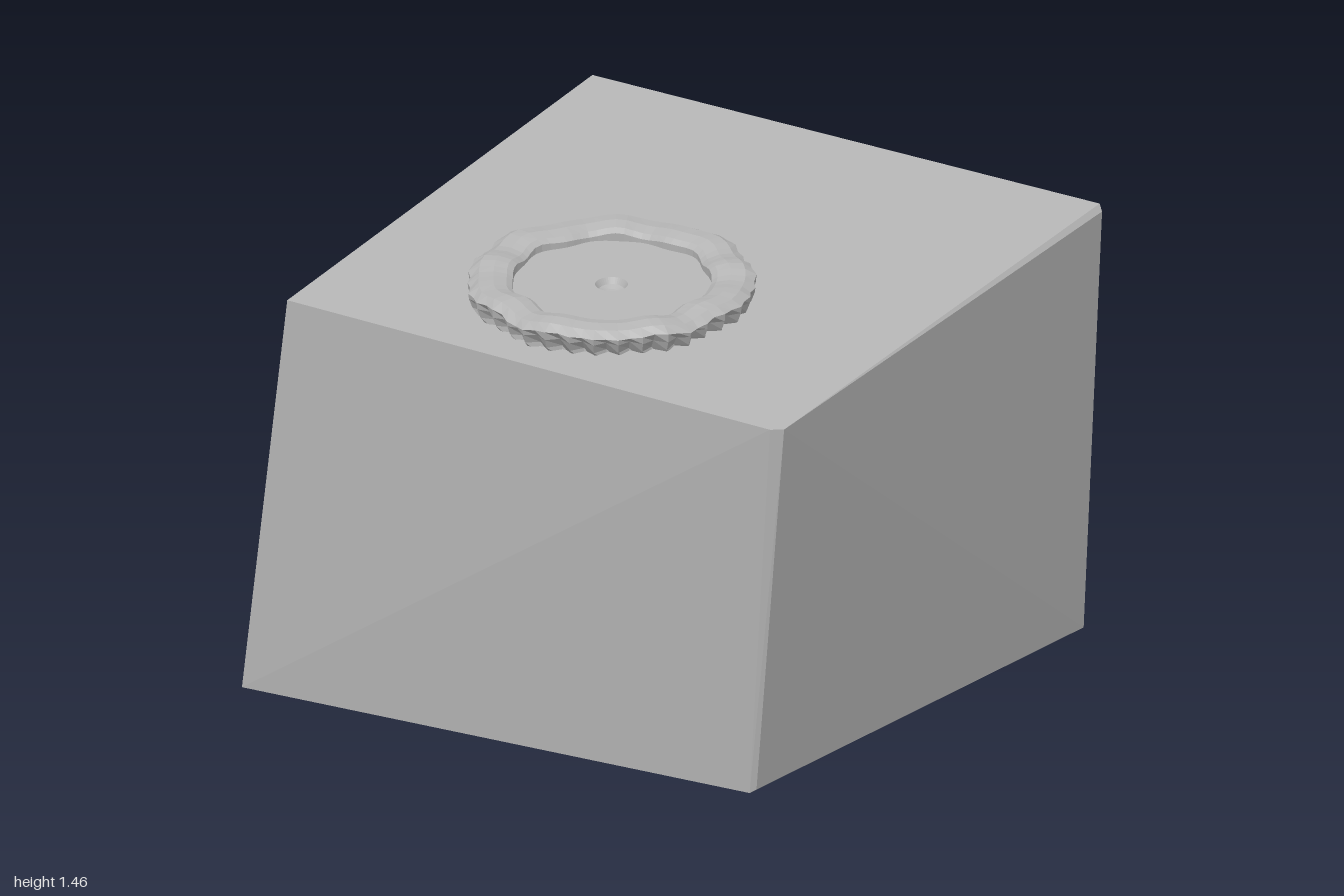
import * as THREE from 'three';
import { ConvexGeometry } from 'three/addons/geometries/ConvexGeometry.js';

const v = (x, y, z) => new THREE.Vector3(x, y, z);

export function createModel() {
  const model = new THREE.Group();
  const grey = new THREE.MeshStandardMaterial({ color: 0xb4b4b4, flatShading: true });
  grey.name = 'grey';

  // leaning block with a sloping top and one chamfered front edge
  const block = new THREE.Mesh(new ConvexGeometry([
    v(-0.96, 0.01, 0.92), v(0.865, 0, 0.925), v(0.88, 0.01, 0.91),
    v(-1.0, 0.02, -0.96), v(0.88, 0, -0.95),
    v(-0.81, 1.27, 0.9), v(0.96, 1.19, 0.96), v(0.995, 1.19, 0.935),
    v(-0.87, 1.46, -0.93), v(0.95, 1.375, -0.93), v(0.965, 1.355, -0.92),
  ]), grey);
  block.name = 'block';
  model.add(block);

  // round cap lying on the sloping top
  const cap = new THREE.Group();
  cap.name = 'cap';
  cap.position.set(0.035, 1.284, 0.395);
  cap.quaternion.setFromUnitVectors(v(0, 1, 0), v(0.06, 1, 0.1).normalize());
  model.add(cap);

  // crimped, slightly lumpy rim: radius, height, flute depth
  const profile = [
    [0.4, -0.02, 0], [0.41, 0.015, 0.016], [0.425, 0.045, 0.012], [0.435, 0.066, 0.004],
    [0.405, 0.084, 0], [0.36, 0.088, 0], [0.32, 0.08, 0], [0.302, 0.068, 0], [0.3, 0.04, 0],
  ];
  const sides = 72;
  const rimGeo = new THREE.LatheGeometry(profile.map(([r, y]) => new THREE.Vector2(r, y)), sides);
  const pos = rimGeo.attributes.position;
  for (let i = 0; i < pos.count; i++) {
    const step = Math.floor(i / profile.length) % sides;
    const [r, y, flute] = profile[i % profile.length];
    const a = (step / sides) * Math.PI * 2;
    const lump = 0.006 * Math.sin(7 * a + 1) + 0.005 * Math.sin(11 * a + 2.5);
    const radius = r + lump + (step % 2 ? flute : -flute);
    const lift = y > 0.05 ? 0.005 * Math.sin(9 * a) + 0.003 * Math.sin(14 * a + 1) : 0;
    pos.setXYZ(i, Math.sin(a) * radius, y + lift, Math.cos(a) * radius);
  }
  rimGeo.computeVertexNormals();
  const rim = new THREE.Mesh(rimGeo, grey);
  rim.name = 'rim';
  cap.add(rim);

  // recessed disc with a small round dimple in the middle
  const disc = new THREE.Mesh(new THREE.LatheGeometry([
    new THREE.Vector2(0.315, 0.05), new THREE.Vector2(0.05, 0.048),
    new THREE.Vector2(0.038, 0.03), new THREE.Vector2(0.02, 0.022), new THREE.Vector2(0, 0.02),
  ], 40), grey);
  disc.name = 'disc';
  cap.add(disc);

  return model;
}
